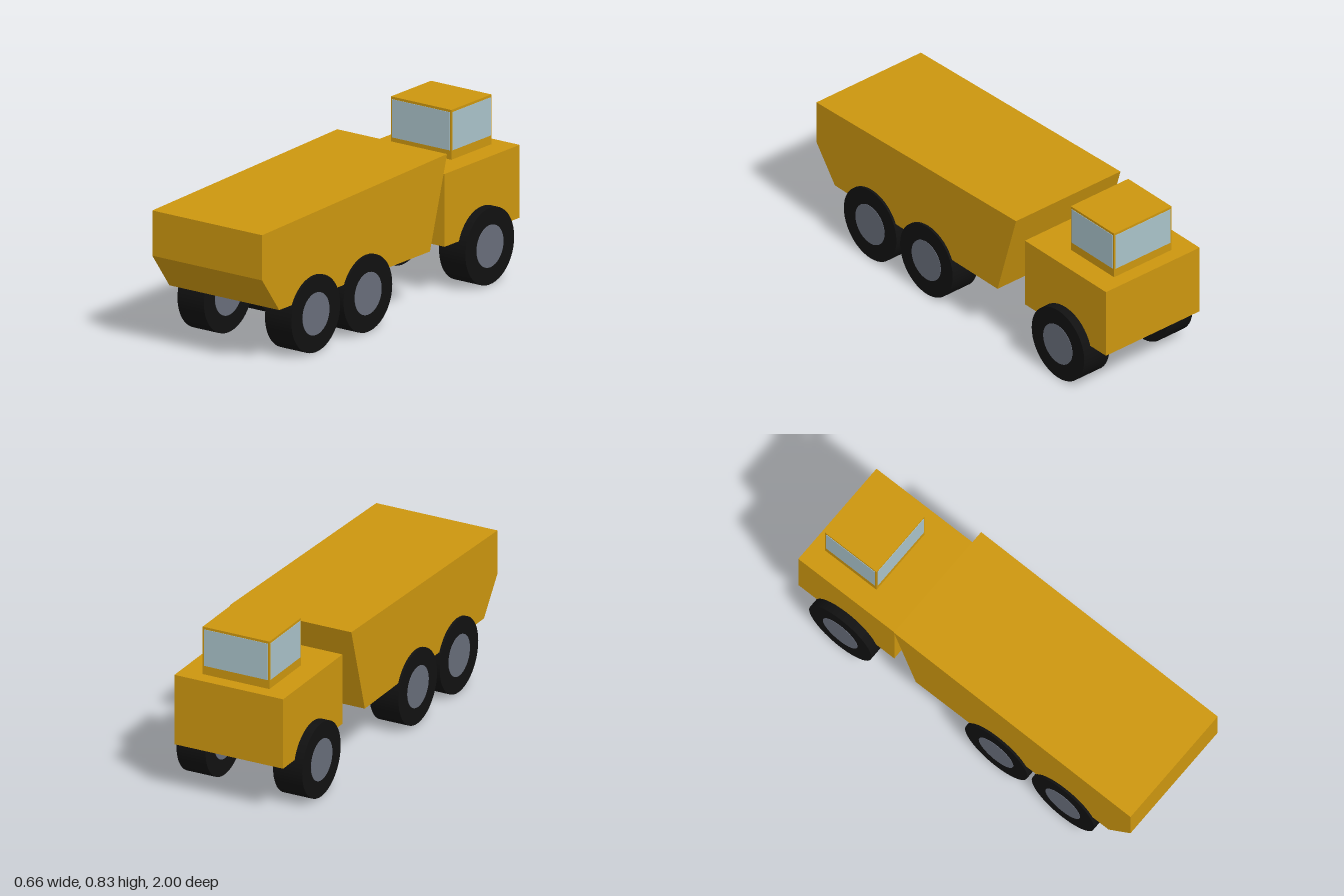
import * as THREE from 'three';

export function createModel() {
  const model = new THREE.Group();
  model.name = 'dumpTruck';

  const mat = (name, color) => {
    const m = new THREE.MeshStandardMaterial({ color });
    m.name = name;
    return m;
  };
  const yellow = mat('yellow paint', 0xcc960f);
  const glass = mat('pale blue glass', 0xa9c2c9);
  const rubber = mat('black rubber', 0x111111);
  const steel = mat('grey steel', 0x686d7a);

  const add = (name, geometry, material, x = 0, y = 0, z = 0, parent = model) => {
    const mesh = new THREE.Mesh(geometry, material);
    mesh.name = name;
    mesh.position.set(x, y, z);
    parent.add(mesh);
    return mesh;
  };
  // Box given by its lower and upper corners
  const box = (name, material, [x0, y0, z0], [x1, y1, z1]) =>
    add(name, new THREE.BoxGeometry(x1 - x0, y1 - y0, z1 - z0), material,
      (x0 + x1) / 2, (y0 + y1) / 2, (z0 + z1) / 2);

  // Dump bed: side profile (z, y) extruded across the width
  const bedWidth = 0.636;
  const profile = [[1, 0.44], [1, 0.658], [-0.405, 0.703], [-0.275, 0.265], [0.87, 0.265]];
  const bedShape = new THREE.Shape(profile.map(([z, y]) => new THREE.Vector2(-z, y)));
  const bedGeometry = new THREE.ExtrudeGeometry(bedShape, { depth: bedWidth, bevelEnabled: false });
  bedGeometry.translate(0, 0, -bedWidth / 2).rotateY(Math.PI / 2);
  add('dumpBed', bedGeometry, yellow);

  // Tractor body and cabin
  box('tractorBody', yellow, [-0.285, 0.243, -1], [0.285, 0.594, -0.43]);
  box('cabin', yellow, [-0.175, 0.594, -0.93], [0.175, 0.834, -0.625]);

  // Windows: thin plates on all four cabin sides
  const t = 0.004;
  const winY = 0.73, winH = 0.184, cabZ = -0.7775;
  for (const s of [1, -1]) {
    add(s > 0 ? 'frontWindow' : 'rearWindow', new THREE.BoxGeometry(0.334, winH, t), glass,
      0, winY, cabZ + s * 0.1525);
    add(s > 0 ? 'leftWindow' : 'rightWindow', new THREE.BoxGeometry(t, winH, 0.289), glass,
      s * 0.175, winY, cabZ);
  }

  // Wheels: wide tyre with a hub showing on both faces
  const tyreGeometry = new THREE.CylinderGeometry(0.185, 0.185, 0.153, 48).rotateZ(Math.PI / 2);
  const hubGeometry = new THREE.CylinderGeometry(0.102, 0.102, 0.157, 48).rotateZ(Math.PI / 2);
  const axles = { rear: 0.608, middle: 0.212, tractor: -0.714 };
  for (const [axle, z] of Object.entries(axles)) {
    for (const s of [1, -1]) {
      const wheel = new THREE.Group();
      wheel.name = `${axle}${s > 0 ? 'Left' : 'Right'}Wheel`;
      wheel.position.set(s * 0.2535, 0.185, z);
      add('tyre', tyreGeometry, rubber, 0, 0, 0, wheel);
      add('hub', hubGeometry, steel, 0, 0, 0, wheel);
      model.add(wheel);
    }
  }

  return model;
}
